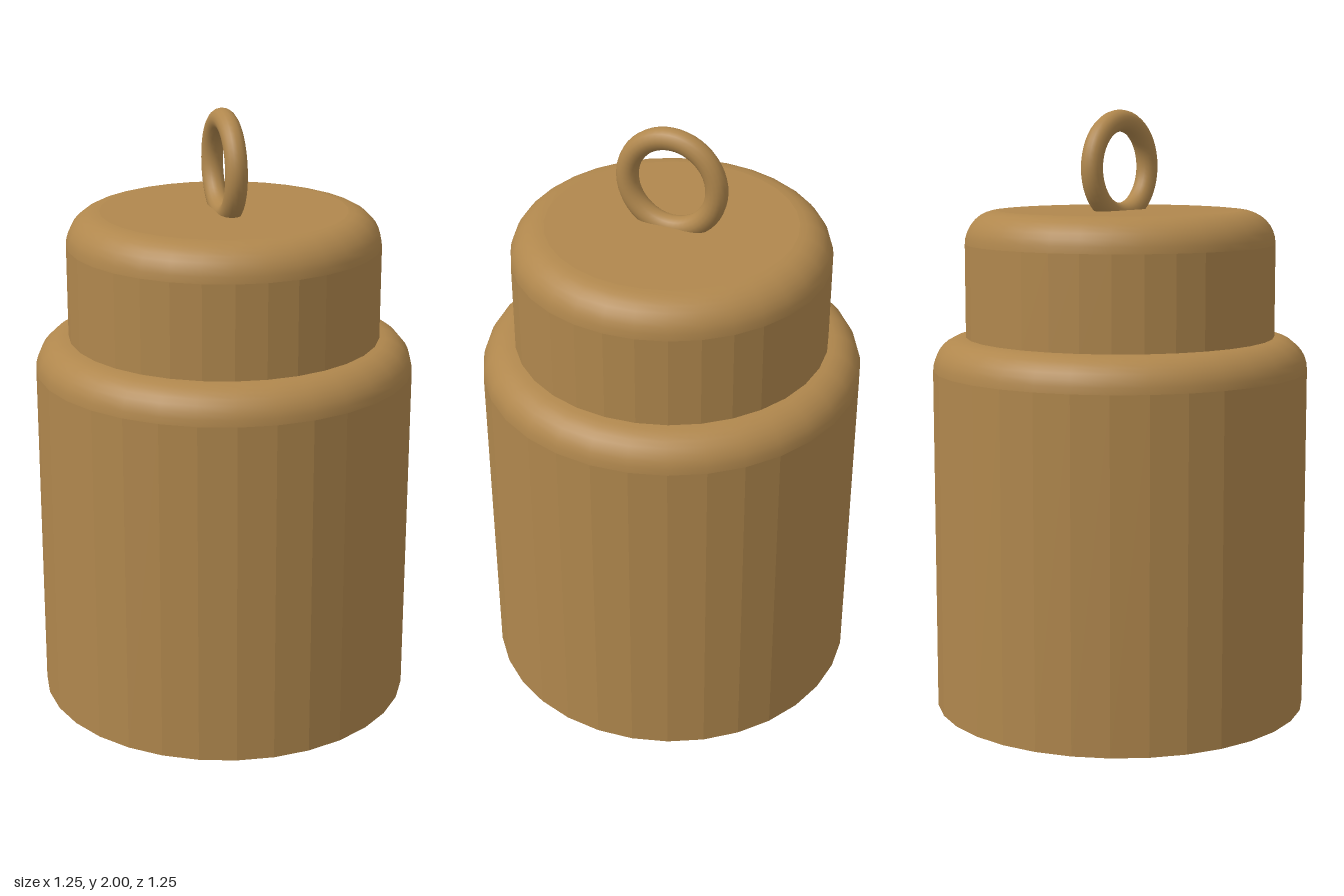
import * as THREE from 'three';

const SIDES = 32;

export function createModel() {
  const group = new THREE.Group();
  const brass = new THREE.MeshStandardMaterial({ color: 0xb0874d });
  brass.name = 'brass';

  const add = (parent, name, geometry) => {
    const mesh = new THREE.Mesh(geometry, brass);
    mesh.name = name;
    parent.add(mesh);
    return mesh;
  };

  // Upright drum: faceted wall, smooth rounded shoulder, flat top and base
  const drum = (name, radius, bottom, top, fillet) => {
    const part = new THREE.Group();
    part.name = name;
    const height = top - fillet - bottom;
    const wallGeometry = new THREE.CylinderGeometry(radius, radius, height, SIDES, 1, true).toNonIndexed();
    wallGeometry.computeVertexNormals();
    add(part, name + 'Wall', wallGeometry).position.y = bottom + height / 2;

    const profile = [];
    for (let i = 0; i <= 8; i++) {
      const a = (i / 8) * Math.PI / 2;
      profile.push(new THREE.Vector2(radius - fillet + fillet * Math.cos(a), top - fillet + fillet * Math.sin(a)));
    }
    add(part, name + 'Shoulder', new THREE.LatheGeometry(profile, SIDES));

    const disc = (label, r, y, turn) => {
      const mesh = add(part, name + label, new THREE.CircleGeometry(r, SIDES));
      mesh.rotation.x = turn;
      mesh.position.y = y;
    };
    disc('Top', radius - fillet, top, -Math.PI / 2);
    disc('Base', radius, bottom, Math.PI / 2);
    group.add(part);
  };

  drum('body', 0.625, 0, 1.255, 0.11);
  drum('neck', 0.515, 1.25, 1.672, 0.11);

  // Hanging ring standing in the side plane, sunk into the top
  const ring = add(group, 'ring', new THREE.TorusGeometry(0.152, 0.036, 16, 48));
  ring.rotation.y = Math.PI / 2;
  ring.position.y = 1.812;

  return group;
}
